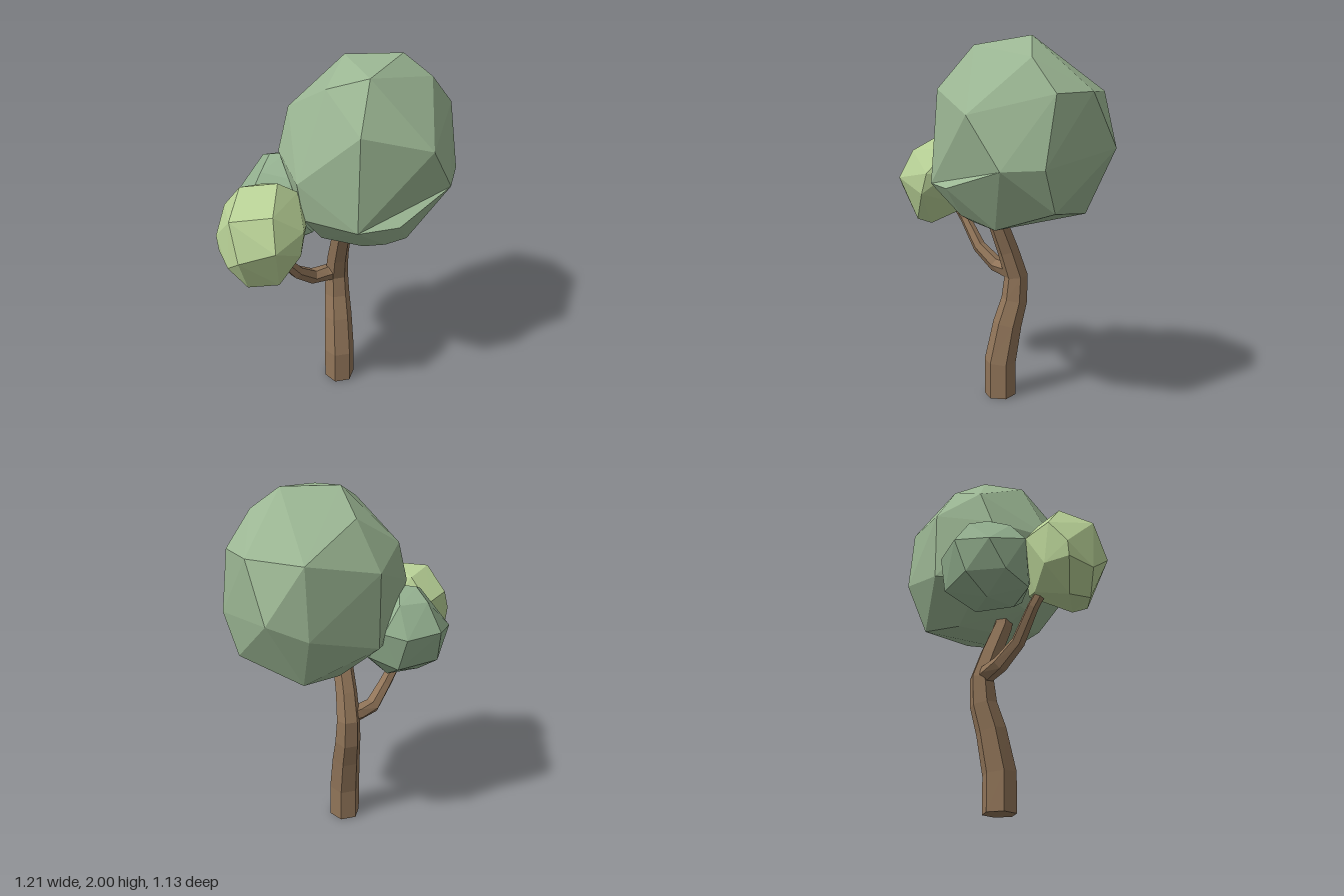
import * as THREE from 'three';
import { ConvexGeometry } from 'three/addons/geometries/ConvexGeometry.js';

const paint = (color) => new THREE.MeshStandardMaterial({ color, flatShading: true });

function part(name, geometry, material) {
  const mesh = new THREE.Mesh(geometry, material);
  mesh.name = name;
  return mesh;
}

// Tapered six-sided limb: each row is [x, y, z, radius], rings face along the path.
function limb(rows) {
  const sides = 6;
  const centres = rows.map(([x, y, z]) => new THREE.Vector3(x, y, z));
  const up = new THREE.Vector3(0, 1, 0);
  const last = rows.length - 1;
  const rings = rows.map((row, i) => {
    const along = centres[Math.min(i + 1, last)].clone().sub(centres[Math.max(i - 1, 0)]);
    const turn = new THREE.Quaternion().setFromUnitVectors(up, along.normalize());
    return Array.from({ length: sides }, (_, k) => {
      const a = (k / sides) * Math.PI * 2 - 0.21;
      return new THREE.Vector3(Math.sin(a), 0, Math.cos(a))
        .multiplyScalar(row[3]).applyQuaternion(turn).add(centres[i]);
    });
  });
  const corners = [];
  for (let k = 0; k < sides; k++) {
    const n = (k + 1) % sides;
    for (let i = 0; i < last; i++) {
      const [a, b, c, d] = [rings[i][k], rings[i][n], rings[i + 1][n], rings[i + 1][k]];
      corners.push(a, b, c, a, c, d);
    }
    corners.push(centres[0], rings[0][n], rings[0][k]);
    corners.push(centres[last], rings[last][k], rings[last][n]);
  }
  const geometry = new THREE.BufferGeometry().setFromPoints(corners);
  geometry.computeVertexNormals();
  return geometry;
}

// Faceted crown: hull around a few points.
const hull = (points) => new ConvexGeometry(points.map((p) => new THREE.Vector3(...p)));

export function createModel() {
  const tree = new THREE.Group();
  tree.name = 'tree';
  const bark = paint(0x917559);
  const leaves = paint(0x9bb693);

  // Bent trunk, running up into the main crown
  tree.add(part('trunk', limb([
    [-0.02, 0, -0.008, 0.09], [-0.02, 0.2, -0.008, 0.09], [-0.03, 0.42, -0.05, 0.082],
    [-0.04, 0.56, -0.09, 0.074], [-0.043, 0.7, -0.1, 0.067], [-0.03, 0.85, -0.053, 0.061],
    [-0.005, 1.02, 0.008, 0.055], [0.02, 1.2, 0.03, 0.05],
  ]), bark));

  // Side branch, curving forward and up into the small crown
  tree.add(part('branch', limb([
    [-0.04, 0.72, -0.09, 0.05], [-0.1, 0.722, -0.055, 0.047], [-0.175, 0.735, 0.005, 0.045],
    [-0.245, 0.825, 0.1, 0.038], [-0.335, 0.98, 0.18, 0.031], [-0.38, 1.15, 0.28, 0.028],
  ]), bark));

  // Main crown, top to bottom
  const crown = [
    [0, 2, -0.1], [0.29, 2, -0.145], [0.14, 1.96, 0.135], [-0.07, 1.9, 0.13],
    [0.44, 1.89, -0.13], [-0.08, 1.88, -0.27],
    [0.11, 1.74, 0.325], [0.55, 1.72, -0.235], [0.43, 1.73, -0.43], [0.145, 1.73, -0.54],
    [-0.29, 1.72, -0.1], [-0.2, 1.64, -0.355], [0.46, 1.62, 0.185],
    [-0.34, 1.5, -0.03], [-0.2, 1.47, 0.29], [0.33, 1.45, -0.57], [0.13, 1.37, -0.56],
    [0.6, 1.37, -0.18], [0.565, 1.36, 0.03], [0.105, 1.25, 0.365],
    [-0.17, 1.27, 0.29], [-0.2, 1.25, -0.35], [-0.27, 1.2, -0.08],
    [0.52, 1.15, -0.24], [0.17, 1.09, -0.45], [0.24, 1.1, 0.21], [-0.1, 1.08, 0.14],
    [0.12, 1.045, 0.15], [0.35, 1.04, 0.04], [0, 1.04, -0.235], [0.04, 1.01, -0.03],
  ];
  tree.add(part('mainCrown', hull(crown), leaves));

  // Bulge low on the front of the main crown, below a shallow dent
  const lower = crown.filter((p) => p[1] < 1.4);
  tree.add(part('crownBulge', hull([...lower, [0.31, 1.25, 0.285]]), leaves));

  // Light crown carried by the branch
  tree.add(part('frontCrown', hull([
    [-0.475, 1.465, 0.325], [-0.29, 1.485, 0.31], [-0.2, 1.415, 0.26], [-0.5, 1.365, 0.495],
    [-0.29, 1.39, 0.48], [-0.455, 1.17, 0.56], [-0.27, 1.235, 0.56], [-0.608, 1.2, 0.355],
    [-0.575, 1.33, 0.265], [-0.475, 1.3, 0.15], [-0.42, 1.25, 0.14], [-0.27, 1.28, 0.16],
    [-0.157, 1.25, 0.3], [-0.155, 1.27, 0.4], [-0.17, 1.15, 0.43], [-0.3, 0.96, 0.38],
    [-0.485, 0.97, 0.36], [-0.44, 0.97, 0.465], [-0.28, 0.99, 0.46], [-0.6, 1.12, 0.36],
    [-0.55, 1.11, 0.24], [-0.4, 1.03, 0.19], [-0.29, 1.06, 0.16], [-0.53, 1.09, 0.48],
    [-0.38, 1.43, 0.21],
  ]), paint(0xb9d297)));

  // Crown at the back, half sunk into the main one
  tree.add(part('backCrown', hull([
    [-0.39, 1.47, -0.05], [-0.3, 1.48, -0.05], [-0.445, 1.42, -0.145], [-0.3, 1.42, -0.2],
    [-0.42, 1.42, 0.07], [-0.2, 1.4, 0.12], [-0.1, 1.35, -0.05], [-0.475, 1.3, 0.15],
    [-0.34, 1.27, -0.3], [-0.22, 1.3, -0.29], [-0.515, 1.28, -0.21], [-0.575, 1.25, -0.03],
    [-0.25, 1.25, 0.19], [-0.15, 1.15, -0.24], [-0.3, 1.1, -0.28], [-0.51, 1.1, -0.15],
    [-0.53, 1.1, 0.05], [-0.4, 1.06, 0.16], [-0.1, 1.1, -0.05], [-0.15, 1.1, 0.12],
    [-0.42, 1.0, -0.05], [-0.25, 1.0, -0.12], [-0.3, 1.0, 0.08],
  ]), paint(0x93b08f)));

  return tree;
}
